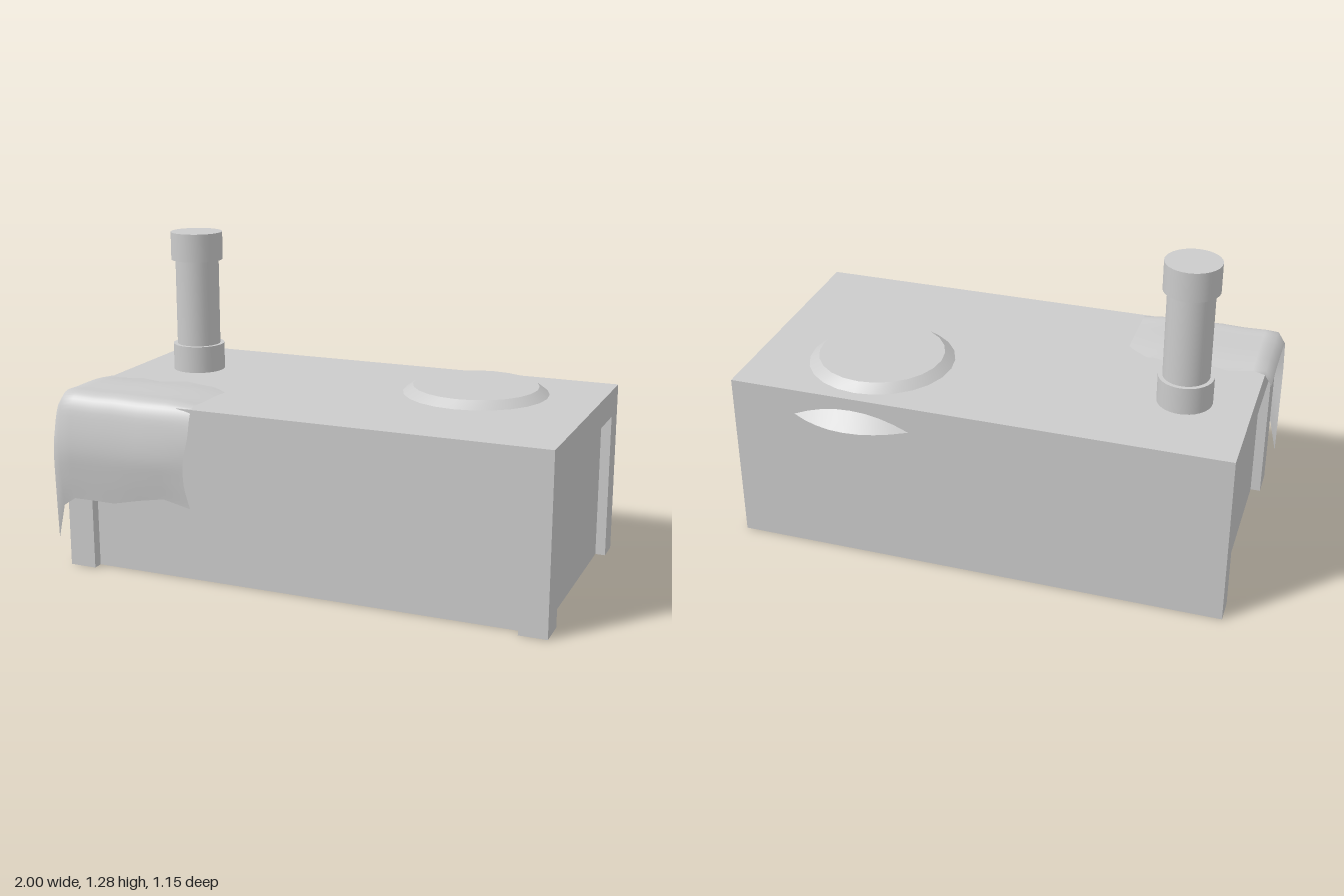
import * as THREE from 'three';
import { toCreasedNormals } from 'three/addons/utils/BufferGeometryUtils.js';

const grey = new THREE.MeshStandardMaterial({ color: 0xcccccc });
const thin = new THREE.MeshStandardMaterial({ color: 0xcccccc, side: THREE.DoubleSide });

function add(parent, name, geometry, x = 0, y = 0, z = 0, material = grey) {
  const mesh = new THREE.Mesh(geometry, material);
  mesh.name = name;
  mesh.position.set(x, y, z);
  parent.add(mesh);
  return mesh;
}

// Indexed surface through a list of rows holding equally many points
function gridSurface(rows) {
  const positions = [], index = [], n = rows[0].length;
  rows.forEach(row => row.forEach(p => positions.push(p.x, p.y, p.z)));
  for (let i = 0; i < rows.length - 1; i++) {
    for (let j = 0; j < n - 1; j++) {
      const a = i * n + j, b = a + n;
      index.push(a, a + 1, b, b, a + 1, b + 1);
    }
  }
  const g = new THREE.BufferGeometry();
  g.setAttribute('position', new THREE.Float32BufferAttribute(positions, 3));
  g.setIndex(index);
  g.computeVertexNormals();
  return g;
}

// Lower cabinet: plan outline notched for the front and side panels
function cabinetGeometry() {
  const plan = [
    [-0.97, -0.5], [1, -0.5], [1, -0.4], [0.96, -0.4], [0.96, 0.4], [1, 0.4],
    [1, 0.52], [0.89, 0.52], [0.89, 0.48], [-0.86, 0.48], [-0.86, 0.52],
    [-0.97, 0.52], [-0.97, 0.4], [-0.93, 0.4], [-0.93, -0.4], [-0.97, -0.4],
  ];
  const shape = new THREE.Shape(plan.map(([x, z]) => new THREE.Vector2(x, -z)));
  const g = new THREE.ExtrudeGeometry(shape, { depth: 0.59, bevelEnabled: false });
  return g.rotateX(-Math.PI / 2);
}

// Cloth: one smooth draped curve per station across the width
function clothGeometry() {
  // x, back edge z, hem y, height change, depth change, hem x shift
  const stations = [
    [-1.0, 0.155, 0.12, -0.045, -0.012, 0.0],
    [-0.97, 0.155, 0.26, 0.0, 0.0, 0.0],
    [-0.92, 0.175, 0.295, 0.003, 0.0, 0.0],
    [-0.83, 0.145, 0.295, 0.0, 0.0, 0.0],
    [-0.74, 0.17, 0.295, 0.003, 0.0, 0.0],
    [-0.63, 0.13, 0.32, 0.0, 0.0, 0.0],
    [-0.52, 0.165, 0.34, 0.0, 0.0, 0.0],
    [-0.41, 0.14, 0.315, -0.012, -0.012, 0.005],
  ];
  const rows = stations.map(([x, back, hem, dy, dz, dx], k) => {
    const tuck = k === stations.length - 1 ? -0.015 : 0;
    const drop = t => 0.5 + (hem - 0.5) * t;
    const points = [
      [x, 0.702 + Math.min(dy, 0), back],
      [x, 0.715 + dy, 0.27],
      [x, 0.717 + dy, 0.42],
      [x, 0.715 + dy, 0.505],
      [x, 0.685 + dy, 0.538 + dz],
      [x, 0.61 + dy, 0.56 + dz],
      [x + tuck, 0.5, 0.573 + dz],
      [x + tuck, drop(0.5), 0.564 + dz / 2],
      [x + dx, hem, 0.55],
    ].map(p => new THREE.Vector3(...p));
    return new THREE.CatmullRomCurve3(points).getPoints(32);
  });
  return gridSurface(rows);
}

// Small curved hood projecting from the back wall
function hoodGeometry() {
  const wall = [], rim = [], base = [];
  for (let i = 0; i <= 8; i++) {
    const t = -1 + i / 4, s = 1 - t * t;
    wall.push(new THREE.Vector3(t * 0.235, 0.055 * s, 0));
    rim.push(new THREE.Vector3(t * 0.235, 0, -0.075 * s));
    base.push(new THREE.Vector3(t * 0.235, 0, 0));
  }
  return toCreasedNormals(gridSurface([wall, rim, base]), 0.5);
}

export function createModel() {
  const model = new THREE.Group();
  model.name = 'counter';

  add(model, 'cabinet', cabinetGeometry());
  add(model, 'worktop', new THREE.BoxGeometry(1.97, 0.11, 1.02), 0.015, 0.645, 0.01);

  // Round plate with a sloping rim
  add(model, 'roundPlate',
    toCreasedNormals(new THREE.CylinderGeometry(0.25, 0.29, 0.03, 24), 0.5), 0.505, 0.715, -0.16);

  // Upright pipe with a collar at each end
  const pipe = new THREE.Group();
  pipe.name = 'pipe';
  pipe.position.set(-0.71, 0.7, -0.125);
  model.add(pipe);
  add(pipe, 'shaft', new THREE.CylinderGeometry(0.09, 0.09, 0.5, 32), 0, 0.28, 0);
  add(pipe, 'lowerCollar', new THREE.CylinderGeometry(0.107, 0.107, 0.11, 32), 0, 0.055, 0);
  add(pipe, 'upperCollar', new THREE.CylinderGeometry(0.107, 0.107, 0.115, 32), 0, 0.5225, 0);

  add(model, 'cloth', clothGeometry(), 0, 0, 0, thin);
  add(model, 'backHood', hoodGeometry(), 0.505, 0.595, -0.5, thin);
  return model;
}
